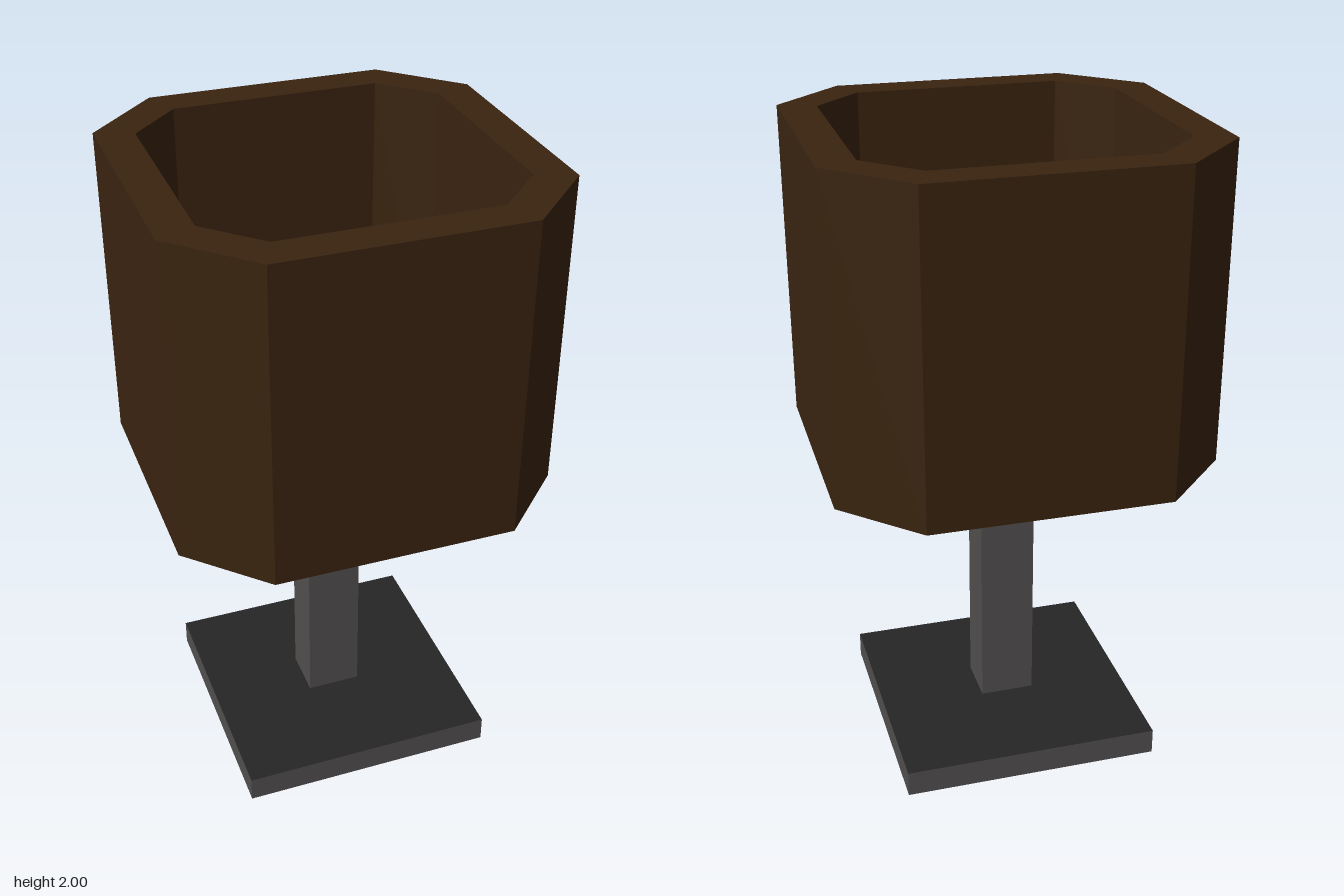
import * as THREE from 'three';

const mat = (name, color) => {
  const m = new THREE.MeshStandardMaterial({ color });
  m.name = name;
  return m;
};

// Corner points of a square with chamfered corners
function chamferedSquare(half, flat) {
  return [
    [half, -flat], [half, flat], [flat, half], [-flat, half],
    [-half, flat], [-half, -flat], [-flat, -half], [flat, -half],
  ].map(([x, y]) => new THREE.Vector2(x, y));
}

export function createModel() {
  const group = new THREE.Group();
  const wood = mat('dark brown shade', 0x3a2410);
  const metal = mat('grey metal', 0x524f4f);
  const dark = mat('dark metal', 0x262626);
  const glow = mat('yellow bulb', 0x6a6210);

  // Box given by its minimum and maximum corners
  function box(name, material, min, max) {
    const size = max.map((v, i) => v - min[i]);
    const mesh = new THREE.Mesh(new THREE.BoxGeometry(...size), material);
    mesh.position.set(...max.map((v, i) => (v + min[i]) / 2));
    mesh.name = name;
    group.add(mesh);
  }

  // Grey sides, dark top and bottom
  const capped = [metal, metal, dark, dark, metal, metal];
  box('base', capped, [-0.407, 0, -0.407], [0.403, 0.083, 0.403]);
  box('post', capped, [-0.095, 0.095, -0.08], [0.077, 1.11, 0.078]);

  // Crossed arms carrying the shade
  box('armAcross', dark, [-0.48, 1.105, -0.08], [0.48, 1.148, 0.078]);
  box('armDeep', dark, [-0.095, 1.106, -0.48], [0.077, 1.149, 0.48]);

  // Cube bulb resting on the arms
  box('bulb', glow, [-0.205, 1.149, -0.185], [0.172, 1.525, 0.195]);

  // Open eight-sided shade
  const outline = new THREE.Shape(chamferedSquare(0.58, 0.363));
  outline.holes.push(new THREE.Path(chamferedSquare(0.467, 0.318).reverse()));
  const shadeGeo = new THREE.ExtrudeGeometry(outline, { depth: 0.98, bevelEnabled: false });
  shadeGeo.rotateX(-Math.PI / 2);
  const shade = new THREE.Mesh(shadeGeo, wood);
  shade.position.y = 1.02;
  shade.name = 'shade';
  group.add(shade);

  return group;
}
